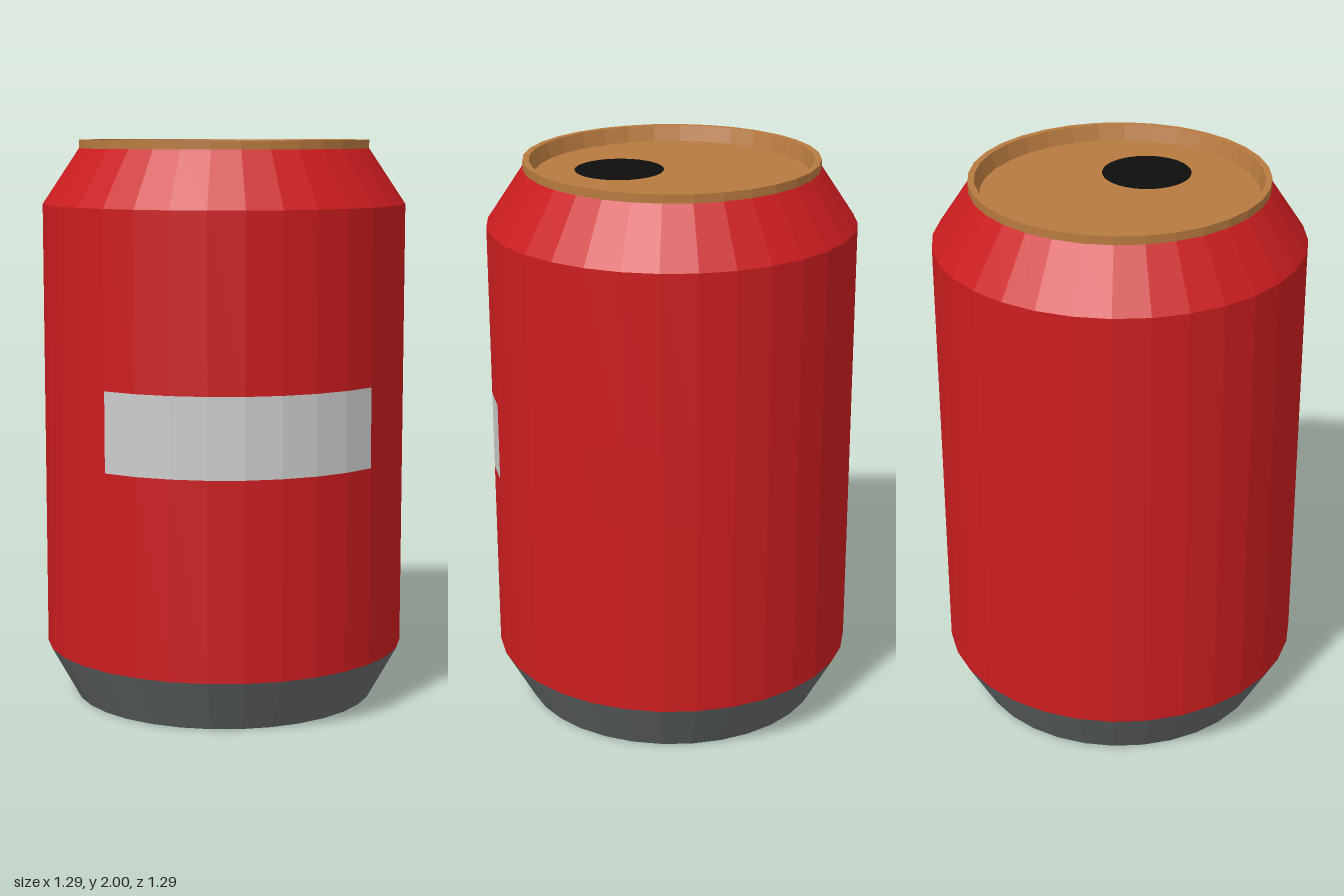
import * as THREE from 'three';

const SIDES = 32;
const R = 0.645; // body radius

function mat(color) {
  return new THREE.MeshStandardMaterial({ color, flatShading: true });
}

// Faceted surface of revolution; profile points are [radius, y]
function turned(name, profile, material, start = 0, share = 1) {
  const points = profile.map(([r, y]) => new THREE.Vector2(r, y));
  const geometry = new THREE.LatheGeometry(points, SIDES * share, start, Math.PI * 2 * share);
  const mesh = new THREE.Mesh(geometry, material);
  mesh.name = name;
  return mesh;
}

export function createModel() {
  const can = new THREE.Group();
  can.name = 'drinkCan';

  const red = mat(0xcc1d1f);
  const steel = mat(0x666a6b);
  const copper = mat(0xb87a3f);
  const labelLow = 0.885, labelHigh = 1.165;

  // Tapered foot with a domed hollow underneath
  can.add(turned('base', [
    [0, 0.225], [0.2, 0.215], [0.333, 0.18], [0.465, 0.04],
    [0.485, 0], [0.54, 0], [R, 0.19],
  ], steel));

  // Body wall, with a band left open over one quarter for the label
  can.add(turned('lowerBody', [[R, 0.19], [R, labelLow]], red));
  can.add(turned('bodyBand', [[R, labelLow], [R, labelHigh]], red, Math.PI / 2, 0.75));
  can.add(turned('upperBody', [[R, labelHigh], [R, 1.775], [0.515, 1.97]], red));

  // Plain label, flush with the wall
  can.add(turned('label', [[R, labelLow], [R, labelHigh]], mat(0xcccccc), 0, 0.25));

  // Raised rim and sunken lid
  can.add(turned('lid', [
    [0.515, 1.97], [0.515, 2], [0.493, 2], [0.478, 1.945], [0, 1.945],
  ], copper));

  // Drinking hole
  const hole = new THREE.Mesh(new THREE.CircleGeometry(0.155, 48), mat(0x0d0d0d));
  hole.name = 'drinkingHole';
  hole.rotation.x = -Math.PI / 2;
  hole.position.set(0.163, 1.949, 0.087);
  can.add(hole);

  return can;
}
